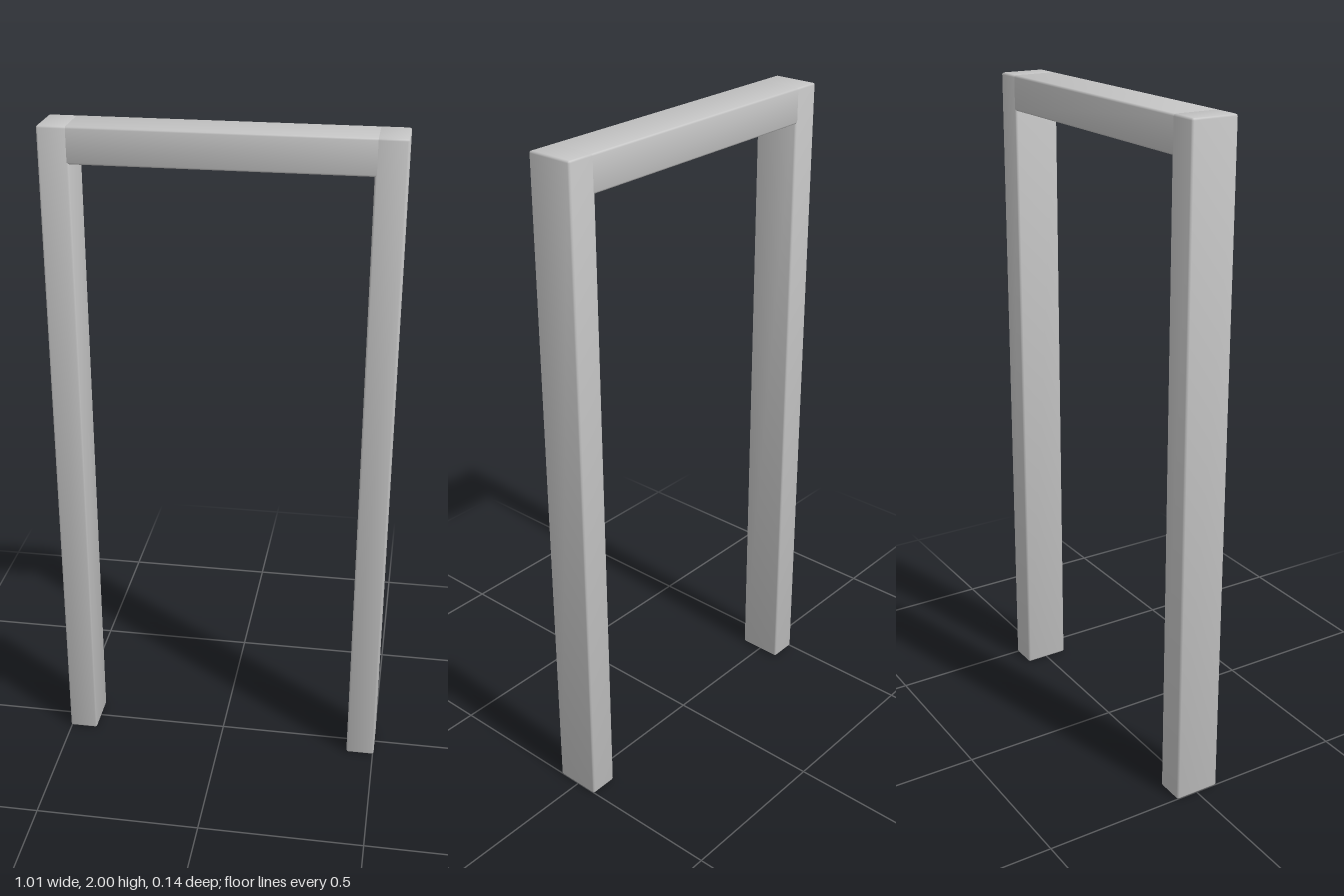
import * as THREE from 'three';
import { RoundedBoxGeometry } from 'three/addons/geometries/RoundedBoxGeometry.js';

const WIDTH = 1.006, HEIGHT = 2, DEPTH = 0.14;
const POST = 0.088, BEAM = 0.104, EDGE = 0.006;
const SOFTNESS = 0.22; // how far normals lean outward at the corners

// Bar with eased edges, softly shaded across its faces
function barGeometry(w, h) {
  const geometry = new RoundedBoxGeometry(w, h, DEPTH, 1, EDGE);
  const { position, normal } = geometry.attributes;
  const n = new THREE.Vector3();
  for (let i = 0; i < position.count; i++) {
    n.fromBufferAttribute(normal, i);
    n.x += SOFTNESS * Math.sign(position.getX(i));
    n.y += SOFTNESS * Math.sign(position.getY(i));
    n.z += SOFTNESS * Math.sign(position.getZ(i));
    n.normalize();
    normal.setXYZ(i, n.x, n.y, n.z);
  }
  return geometry;
}

export function createModel() {
  const group = new THREE.Group();
  group.name = 'doorFrame';
  const grey = new THREE.MeshStandardMaterial({ color: 0xc4c4c4 });
  grey.name = 'lightGrey';

  const bar = (name, w, h, x, y) => {
    const mesh = new THREE.Mesh(barGeometry(w, h), grey);
    mesh.name = name;
    mesh.position.set(x, y, 0);
    group.add(mesh);
  };

  // Two upright posts
  for (const [name, side] of [['leftPost', 1], ['rightPost', -1]]) {
    bar(name, POST, HEIGHT, side * (WIDTH - POST) / 2, HEIGHT / 2);
  }

  // Lintel, its ends let into the posts
  bar('lintel', WIDTH - 2 * POST + 4 * EDGE, BEAM, 0, HEIGHT - BEAM / 2);

  return group;
}
